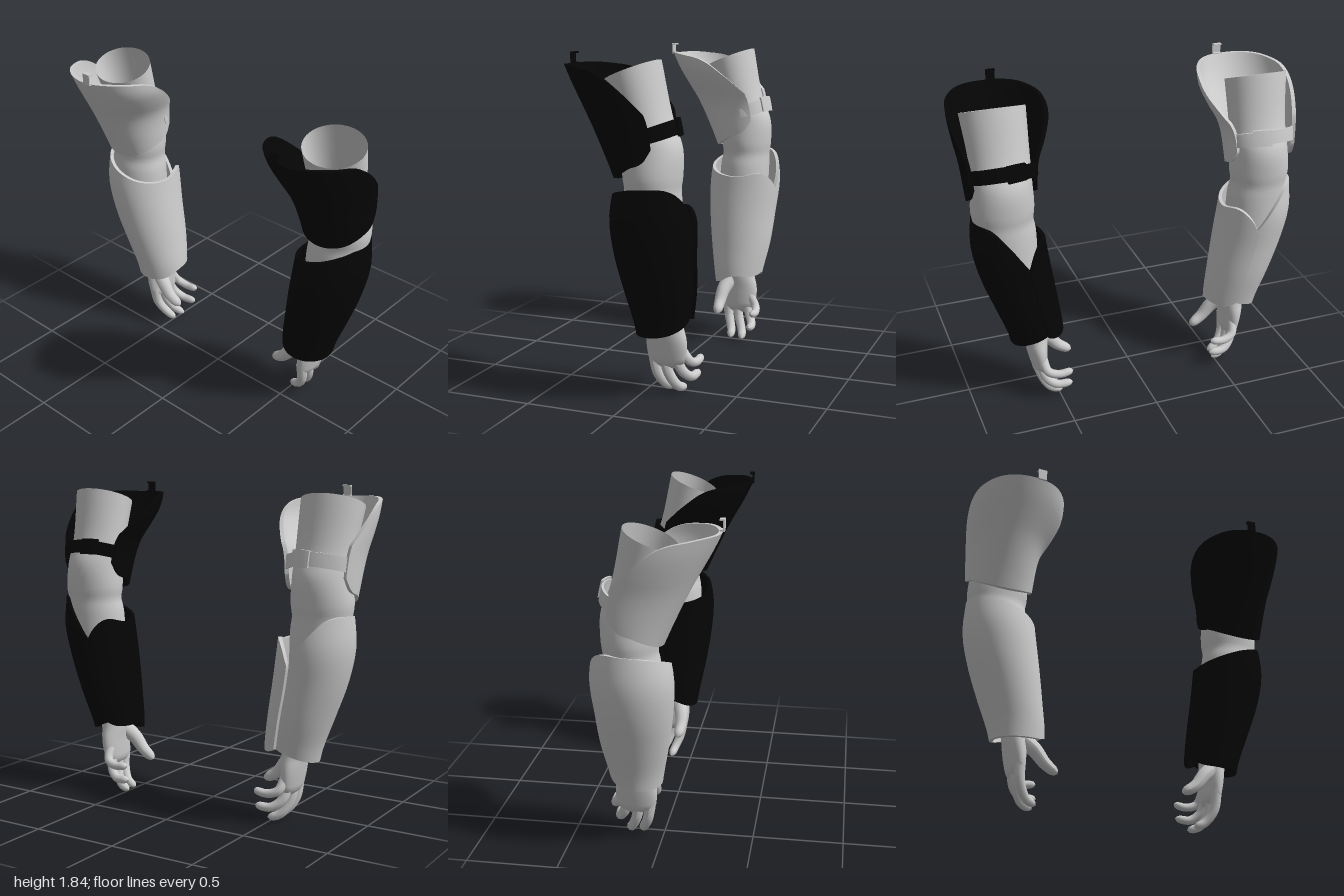
import * as THREE from 'three';
import { toCreasedNormals } from 'three/addons/utils/BufferGeometryUtils.js';

// Smooth lookup through rows of [key, value, value, ...] sorted by key
function keyed(rows) {
  const size = rows[0].length - 1;
  const curve = new THREE.CubicInterpolant(
    rows.map((r) => r[0]), rows.flatMap((r) => r.slice(1)), size, new Float32Array(size));
  return (t) => curve.evaluate(Math.min(Math.max(t, rows[0][0]), rows[rows.length - 1][0]));
}

function meshData(points, index) {
  const g = new THREE.BufferGeometry();
  g.setAttribute('position', new THREE.Float32BufferAttribute(points, 3));
  g.setIndex(index);
  return g;
}

// Curved plate: sections are [y, cx, cz, rx, rz]; edges are [degrees from front, y];
// lift is the outward offset at the first and last side edge
function shell(sections, bottom, top, thickness, lift = [0, 0], cols = 72, rows = 14) {
  const section = keyed(sections), low = keyed(bottom), high = keyed(top);
  const a0 = top[0][0], a1 = top[top.length - 1][0];
  const loop = 2 * (rows + 1), points = [], index = [];
  for (let i = 0; i <= cols; i++) {
    const deg = a0 + ((a1 - a0) * i) / cols, a = (deg * Math.PI) / 180;
    const y0 = low(deg)[0], y1 = high(deg)[0];
    for (let j = 0; j < loop; j++) {
      const outer = j <= rows;
      const y = y0 + ((y1 - y0) * (outer ? j : loop - 1 - j)) / rows;
      const [cx, cz, rx, rz] = section(y);
      const off = THREE.MathUtils.lerp(lift[0], lift[1], i / cols) - (outer ? 0 : thickness);
      points.push(cx + (rx + off) * Math.sin(a), y, cz + (rz + off) * Math.cos(a));
    }
  }
  const quad = (a, b, c, d) => index.push(a, b, c, a, c, d);
  for (let i = 0; i < cols; i++) {
    for (let j = 0; j < loop; j++) {
      const k = (j + 1) % loop;
      quad(i * loop + j, (i + 1) * loop + j, (i + 1) * loop + k, i * loop + k);
    }
  }
  const e = cols * loop;
  for (let j = 0; j < rows; j++) {
    const n = loop - 1 - j;
    quad(j, j + 1, n - 1, n);
    quad(e + n, e + n - 1, e + j + 1, e + j);
  }
  return meshData(points, index);
}

// Open-topped limb; the rim tilts up towards the back
function limb(sections, tilt, cols = 36, rows = 70) {
  const section = keyed(sections), points = [], index = [];
  const y0 = sections[0][0], y1 = sections[sections.length - 1][0];
  for (let j = 0; j <= rows; j++) {
    const y = y0 + ((y1 - y0) * j) / rows;
    const [cx, cz, rx, rz] = section(y);
    const slope = tilt * Math.max(0, (y - 1.45) / (y1 - 1.45));
    for (let i = 0; i < cols; i++) {
      const a = (i / cols) * Math.PI * 2;
      points.push(cx + rx * Math.sin(a), y - slope * Math.cos(a), cz + rz * Math.cos(a));
      if (j === rows) continue;
      const p = j * cols + i, q = j * cols + ((i + 1) % cols);
      index.push(p, q, q + cols, p, q + cols, p + cols);
    }
  }
  return meshData(points, index);
}

// Tapered tube with a rounded tip
function finger(path, r0, r1) {
  const curve = new THREE.CatmullRomCurve3(path.map((p) => new THREE.Vector3(...p)));
  const n = 24, sides = 12;
  const g = new THREE.TubeGeometry(curve, n, 1, sides);
  const pos = g.attributes.position, v = new THREE.Vector3();
  for (let i = 0; i < pos.count; i++) {
    const u = Math.floor(i / (sides + 1)) / n;
    const c = curve.getPointAt(u);
    const tip = Math.max(0, (u - 0.84) / 0.16);
    const r = (r0 + (r1 - r0) * u) * Math.sqrt(Math.max(0.0001, 1 - tip * tip));
    v.fromBufferAttribute(pos, i).sub(c).multiplyScalar(r).add(c);
    pos.setXYZ(i, v.x, v.y, v.z);
  }
  return g;
}

const ARM = [
  [0.15, 0.598, -0.14, 0.004, 0.03], [0.18, 0.602, -0.14, 0.036, 0.09], [0.24, 0.608, -0.14, 0.05, 0.112],
  [0.32, 0.615, -0.14, 0.06, 0.114], [0.4, 0.62, -0.135, 0.072, 0.1], [0.6, 0.67, -0.12, 0.11, 0.12],
  [0.9, 0.74, -0.12, 0.16, 0.15], [1.1, 0.76, -0.125, 0.172, 0.15], [1.16, 0.765, -0.13, 0.166, 0.144],
  [1.22, 0.765, -0.13, 0.174, 0.152], [1.38, 0.76, -0.122, 0.165, 0.156],
  [1.5, 0.757, -0.09, 0.165, 0.137], [1.76, 0.765, -0.022, 0.18, 0.14]];

const FINGERS = [
  ['indexFinger', [[0.605, 0.24, -0.06], [0.595, 0.12, -0.08], [0.55, 0.045, -0.11], [0.485, 0.014, -0.125]], 0.032, 0.024],
  ['middleFinger', [[0.605, 0.24, -0.12], [0.595, 0.12, -0.145], [0.55, 0.04, -0.18], [0.48, 0.014, -0.2]], 0.032, 0.024],
  ['ringFinger', [[0.605, 0.24, -0.18], [0.585, 0.14, -0.22], [0.53, 0.095, -0.25], [0.435, 0.098, -0.262]], 0.031, 0.023],
  ['littleFinger', [[0.6, 0.27, -0.215], [0.58, 0.2, -0.26], [0.52, 0.178, -0.276], [0.435, 0.188, -0.276]], 0.028, 0.022],
  ['thumb', [[0.595, 0.37, -0.09], [0.525, 0.31, -0.065], [0.465, 0.24, -0.06], [0.385, 0.19, -0.07]], 0.05, 0.027]];

const UPPER = [
  [1.15, 0.757, -0.1, 0.182, 0.145], [1.3, 0.76, -0.1, 0.194, 0.21], [1.5, 0.756, -0.06, 0.215, 0.265],
  [1.6, 0.739, -0.02, 0.248, 0.28], [1.7, 0.725, 0.02, 0.273, 0.295], [1.8, 0.725, 0.06, 0.272, 0.302]];
const UPPER_BOTTOM = [[-116, 1.38], [-105, 1.32], [-80, 1.28], [-40, 1.225], [0, 1.205],
  [40, 1.225], [80, 1.28], [105, 1.32], [116, 1.38]];
const UPPER_TOP = [[-116, 1.55], [-102, 1.65], [-85, 1.74], [-55, 1.78], [0, 1.785],
  [55, 1.78], [85, 1.74], [102, 1.65], [116, 1.55]];

const FOREARM = [
  [0.33, 0.607, -0.118, 0.148, 0.142], [0.4, 0.612, -0.118, 0.157, 0.152], [0.6, 0.66, -0.118, 0.18, 0.19],
  [0.8, 0.71, -0.112, 0.2, 0.213], [1.0, 0.745, -0.115, 0.205, 0.225], [1.18, 0.75, -0.12, 0.192, 0.2]];
const FOREARM_BOTTOM = [[-164, 0.44], [-150, 0.42], [-90, 0.415], [-45, 0.365], [0, 0.35],
  [60, 0.352], [120, 0.37], [170, 0.41], [202, 0.44]];
const FOREARM_TOP = [[-164, 0.92], [-150, 1.0], [-130, 1.05], [-90, 1.03], [-45, 1.05], [0, 1.1],
  [45, 1.15], [90, 1.175], [140, 1.16], [160, 1.11], [180, 1.03], [202, 0.9]];

const STRAP = [[1.38, 0.757, -0.115, 0.192, 0.152], [1.46, 0.757, -0.102, 0.195, 0.15], [1.54, 0.757, -0.085, 0.198, 0.148]];

function buildArm(side, skin, armour) {
  const arm = new THREE.Group(), guards = new THREE.Group();
  arm.name = side > 0 ? 'leftArm' : 'rightArm';
  guards.name = 'armour';
  arm.add(guards);
  const add = (parent, name, geometry, material, crease = 0) => {
    if (side < 0) {
      geometry.scale(-1, 1, 1);
      const idx = geometry.index.array;
      for (let i = 0; i < idx.length; i += 3) [idx[i], idx[i + 1]] = [idx[i + 1], idx[i]];
    }
    geometry.computeVertexNormals();
    const mesh = new THREE.Mesh(crease ? toCreasedNormals(geometry, crease) : geometry, material);
    mesh.name = name;
    parent.add(mesh);
  };

  // Bare arm and hand
  add(arm, 'bareArm', limb(ARM, 0.055), skin);
  for (const [name, path, r0, r1] of FINGERS) add(arm, name, finger(path, r0, r1), skin);

  // Armour plates; the forearm guard overlaps itself along a seam at the back
  add(guards, 'upperArmPlate', shell(UPPER, UPPER_BOTTOM, UPPER_TOP, 0.022), armour, 0.7);
  add(guards, 'forearmGuard', shell(FOREARM, FOREARM_BOTTOM, FOREARM_TOP, 0.02, [0.012, -0.012]), armour, 0.7);

  // Strap and its buckle behind the upper arm
  add(guards, 'strap', shell(STRAP, [[98, 1.4], [180, 1.44], [262, 1.4]],
    [[98, 1.475], [180, 1.515], [262, 1.475]], 0.012, [0.008, 0.008], 32, 3), armour, 0.7);
  add(guards, 'buckle', shell(STRAP, [[180, 1.432], [195, 1.434], [210, 1.432]],
    [[180, 1.522], [195, 1.524], [210, 1.52]], 0.014, [0.02, 0.02], 8, 2), armour, 0.7);

  // Small hook on the top edge of the upper plate
  for (const [name, y, z, h, d] of [['hookStem', 1.812, 0.357, 0.06, 0.008],
    ['hookLip', 1.84, 0.348, 0.008, 0.026], ['hookFoot', 1.786, 0.348, 0.01, 0.026]]) {
    add(guards, name, new THREE.BoxGeometry(0.05, h, d).translate(0.68, y, z), armour, 0.5);
  }
  // The right-hand set sits slightly further back
  guards.position.z = side > 0 ? 0 : -0.022;
  return arm;
}

export function createModel() {
  const make = (name, color) => {
    const m = new THREE.MeshStandardMaterial({ color, side: THREE.DoubleSide });
    m.name = name;
    return m;
  };
  const grey = make('lightGrey', 0xcccccc), black = make('black', 0x050505);
  const model = new THREE.Group();
  model.name = 'armouredArms';
  model.add(buildArm(1, grey, black), buildArm(-1, grey, grey));
  return model;
}
